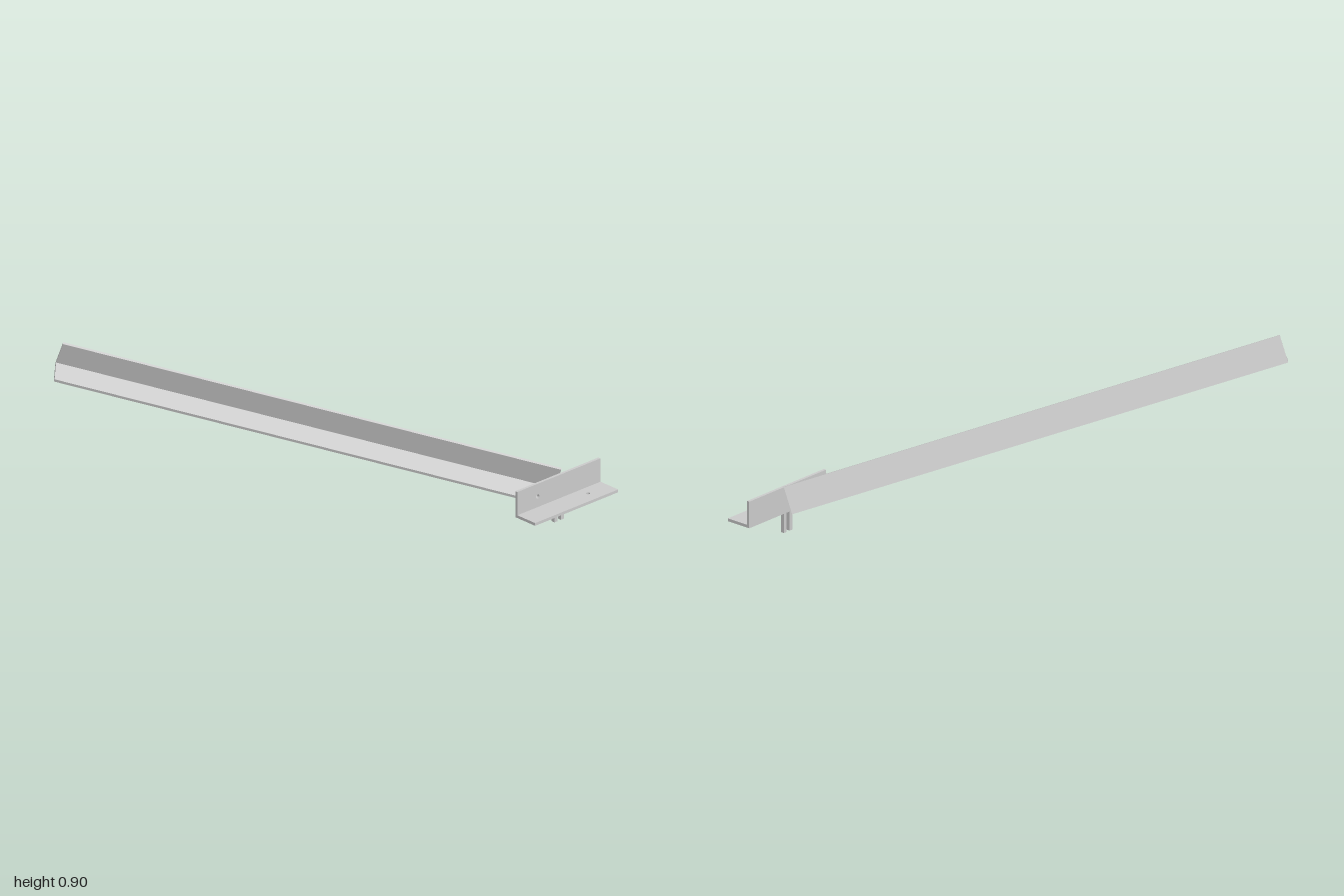
import * as THREE from 'three';

const LEG = 0.132, THICK = 0.014;
const material = new THREE.MeshStandardMaterial({ color: 0xcccccc, flatShading: true });
const v = (x, y, z) => new THREE.Vector3(x, y, z);

// Extrudes a shape, then places its local axes along the given directions
function extruded(name, shape, depth, origin, xAxis, yAxis) {
  const geometry = new THREE.ExtrudeGeometry(shape, { depth, bevelEnabled: false, curveSegments: 12 });
  const zAxis = xAxis.clone().cross(yAxis);
  geometry.applyMatrix4(new THREE.Matrix4().makeBasis(xAxis, yAxis, zAxis).setPosition(origin));
  const mesh = new THREE.Mesh(geometry, material);
  mesh.name = name;
  return mesh;
}

function polygon(points) {
  return new THREE.Shape(points.map(([x, y]) => new THREE.Vector2(x, y)));
}

// Rectangular plate with one round bolt hole
function drilledPlate(width, height, holeX, holeY) {
  const shape = polygon([[0, 0], [width, 0], [width, height], [0, height]]);
  shape.holes.push(new THREE.Path().absarc(holeX, holeY, 0.01, 0, Math.PI * 2, true));
  return shape;
}

export function createModel() {
  const model = new THREE.Group();
  model.name = 'angleBrace';

  // Long sloping angle-iron beam, cut square at both ends
  const along = v(0.6495, -0.2778, -0.708).normalize();
  const up = v(-along.y, along.x, 0).normalize();
  const out = along.clone().cross(up);
  const length = 2.385;
  const lowEnd = v(-0.875, 0.78, 0.907).addScaledVector(along, length);
  const angleProfile = polygon([
    [0, 0], [LEG, 0], [LEG, THICK], [THICK, THICK], [THICK, LEG], [0, LEG],
  ]);
  model.add(extruded('beam', angleProfile, length, lowEnd, out, up));

  // Short angle bracket: upright plate and flange, each with a hole
  const bracket = new THREE.Group();
  bracket.name = 'bracket';
  const back = v(0, 0, -1);
  bracket.add(extruded('uprightPlate', drilledPlate(0.53, LEG, 0.13, 0.067), THICK,
    v(0.743, 0.095, -0.47), back, v(0, 1, 0)));
  bracket.add(extruded('flange', drilledPlate(0.53, LEG - THICK, 0.4, 0.066), THICK,
    v(0.875, 0.095, -0.47), back, v(-1, 0, 0)));
  model.add(bracket);

  // Two pegs below the bracket
  for (const z of [-0.712, -0.752]) {
    const peg = new THREE.Mesh(new THREE.BoxGeometry(0.019, 0.097, 0.019), material);
    peg.name = 'peg';
    peg.position.set(0.7525, 0.0485, z);
    model.add(peg);
  }
  return model;
}
